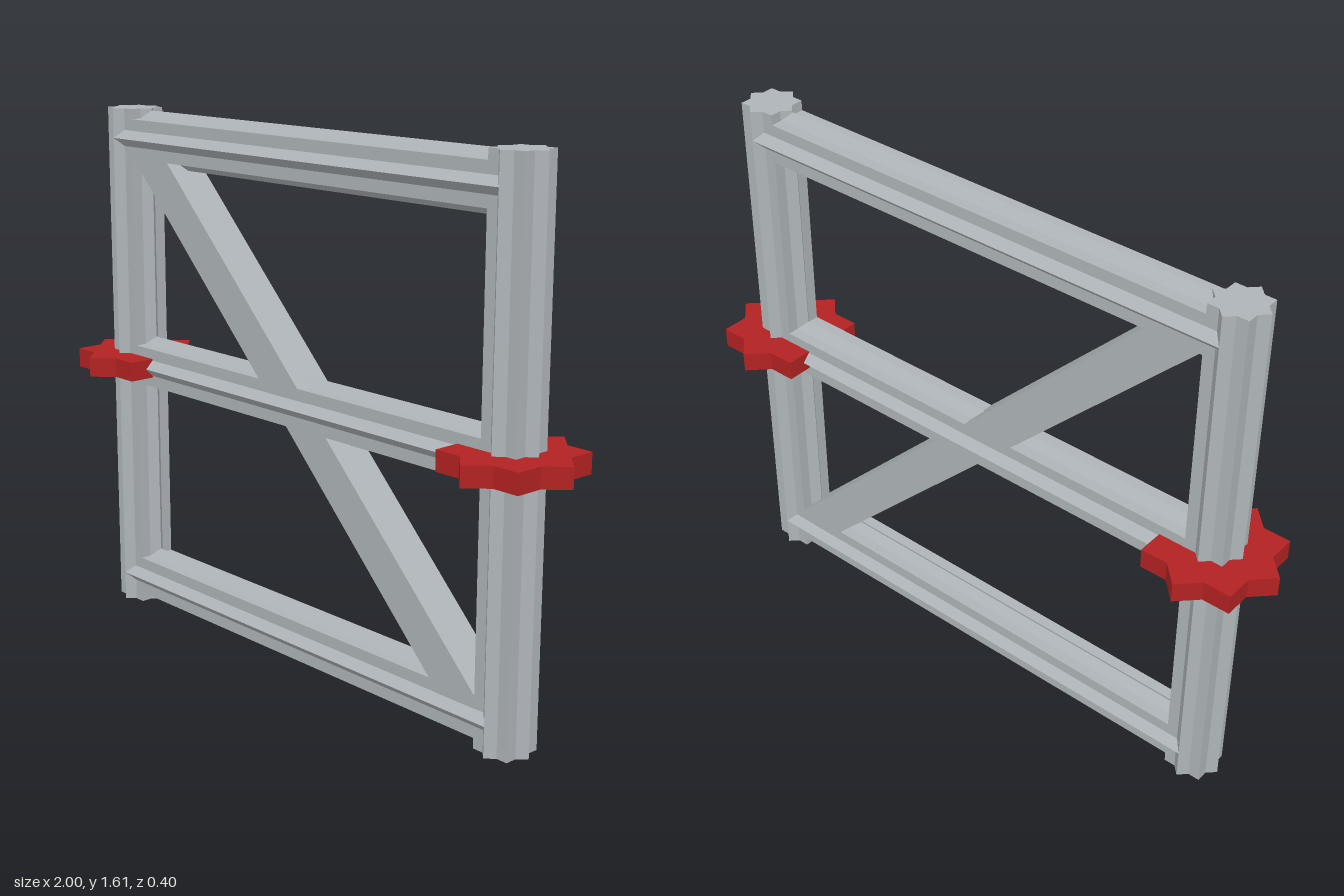
import * as THREE from 'three';

const HEIGHT = 1.605, MID = 0.8025, POST_X = 0.8, R = 0.085;

// Eight-pointed star made of two overlapping squares, points on the axes and diagonals
function starPrism(radius, length) {
  const shape = new THREE.Shape();
  for (let i = 0; i < 16; i++) {
    const r = i % 2 ? radius * Math.SQRT1_2 / Math.cos(Math.PI / 8) : radius;
    const a = i * Math.PI / 8;
    const x = r * Math.cos(a), y = r * Math.sin(a);
    if (i === 0) shape.moveTo(x, y); else shape.lineTo(x, y);
  }
  shape.closePath();
  const geo = new THREE.ExtrudeGeometry(shape, { depth: length, bevelEnabled: false });
  return geo.translate(0, 0, -length / 2);
}

export function createModel() {
  const group = new THREE.Group();
  const steel = new THREE.MeshStandardMaterial({ color: 0xaeb4b8 });
  steel.name = 'steel grey';
  const red = new THREE.MeshStandardMaterial({ color: 0xb22222 });
  red.name = 'red';

  const add = (name, geo, mat, x, y) => {
    const mesh = new THREE.Mesh(geo, mat);
    mesh.name = name;
    mesh.position.set(x, y, 0);
    group.add(mesh);
    return mesh;
  };

  // Upright posts with a star collar at mid height
  const postGeo = starPrism(R, HEIGHT).rotateX(Math.PI / 2);
  const collarGeo = starPrism(0.2, 0.06).rotateX(Math.PI / 2);
  for (const [side, s] of [['left', 1], ['right', -1]]) {
    add(side + 'Post', postGeo, steel, s * POST_X, MID);
    add(side + 'Collar', collarGeo, red, s * POST_X, MID);
  }

  // Horizontal rails
  const railGeo = starPrism(R, 2 * POST_X).rotateY(Math.PI / 2);
  const railGap = 0.712;
  add('bottomRail', railGeo, steel, 0, MID - railGap);
  add('middleRail', railGeo, steel, 0, MID);
  add('topRail', railGeo, steel, 0, MID + railGap);

  // Diagonal brace, flush with the flats of the rails
  const braceGeo = new THREE.BoxGeometry(1.43 * Math.SQRT2, 0.12, 0.121);
  add('diagonalBrace', braceGeo, steel, 0, MID + 0.005).rotation.z = -Math.PI / 4;

  return group;
}
